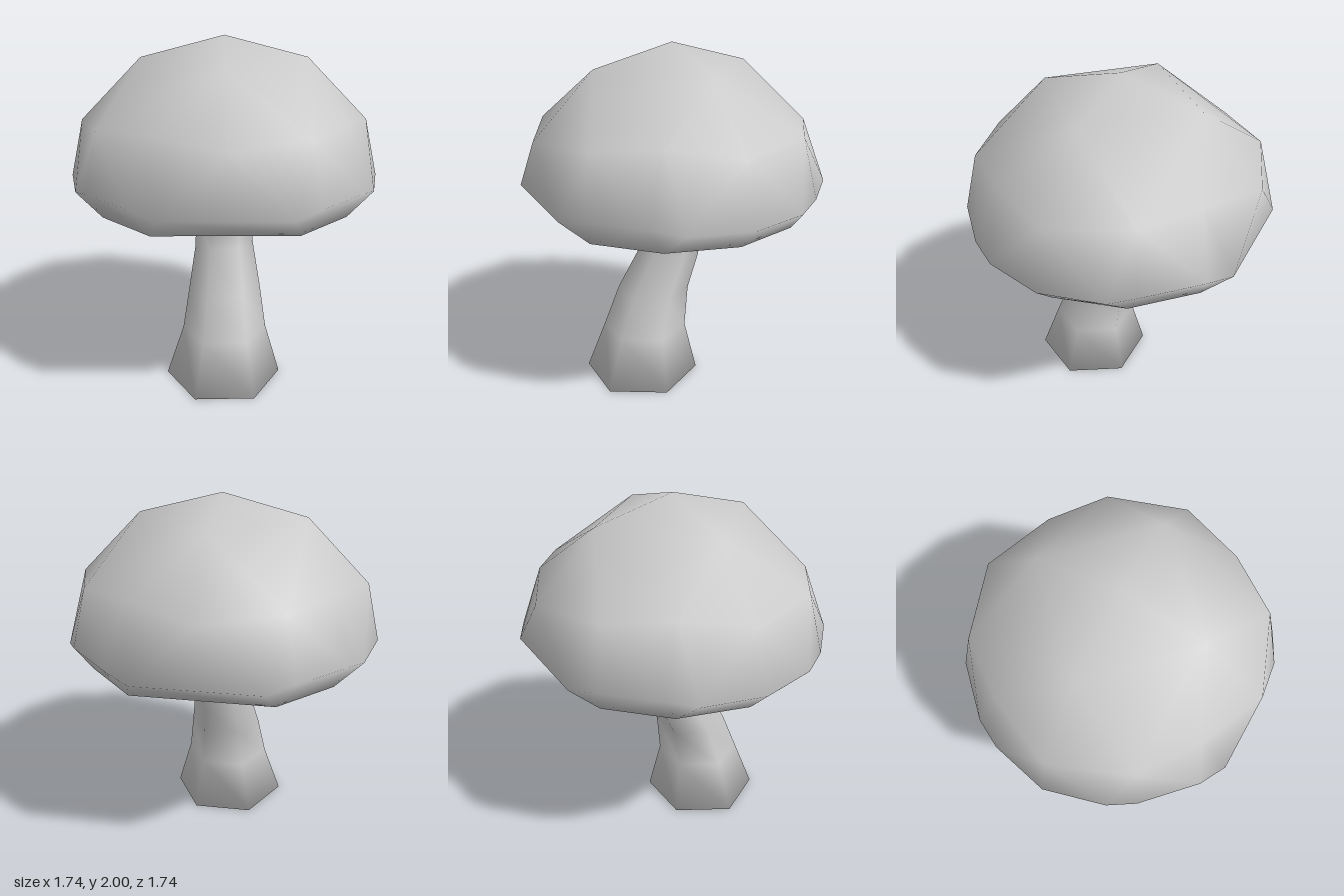
import * as THREE from 'three';
import { ConvexGeometry } from 'three/addons/geometries/ConvexGeometry.js';
import { mergeVertices } from 'three/addons/utils/BufferGeometryUtils.js';

const rad = THREE.MathUtils.degToRad;

// Faceted dome: rings of [height, radius, angles in degrees, repeat step]
function capGeometry() {
  const rings = [
    [1.88, 0.467, [15], 90],
    [1.53, 0.814, [15], 90],
    [1.56, 0.79, [72], 90],
    [1.58, 0.742, [45], 90],
    [1.235, 0.874, [-18.5, -41.7, -108.5, -131.4], 180],
    [1.2, 0.877, [-7.8, -52.8, -97.8, -142.6], 180],
    [1.2, 0.892, [15], 180],
    // The flat underside has one corner cut off on two opposite sides
    [1.07, 0.763, [15, 45, 75, 135, 165], 180],
  ];
  const points = [new THREE.Vector3(0, 2, 0)];
  for (const [y, r, angles, step] of rings) {
    for (let turn = 0; turn < 360; turn += step) {
      for (const a of angles) {
        const t = rad(a + turn);
        points.push(new THREE.Vector3(r * Math.cos(t), y, r * Math.sin(t)));
      }
    }
  }
  // Weld the hull so that it shades smoothly
  const hull = new ConvexGeometry(points);
  hull.deleteAttribute('normal');
  const geometry = mergeVertices(hull, 1e-4);
  geometry.computeVertexNormals();
  return geometry;
}

// Bent six-sided stalk: sections of [y, centre x, centre z, radius, tilt]
function stemGeometry() {
  const sides = 6;
  const sections = [
    [0, -0.062, 0.2, 0.341, 0],
    [0.3, -0.05, 0.182, 0.247, 0],
    [0.54, -0.032, 0.125, 0.211, 0],
    [0.765, -0.005, 0.015, 0.174, 0.035],
    [0.95, -0.003, 0.008, 0.167, 0],
    [1.1, -0.012, 0.045, 0.156, 0],
  ];
  const positions = [];
  const index = [];
  for (const [y, cx, cz, r, tilt] of sections) {
    for (let i = 0; i < sides; i++) {
      const t = rad(14 + i * 60);
      positions.push(cx + r * Math.cos(t), y + tilt * Math.sin(t), cz + r * Math.sin(t));
    }
  }
  for (let s = 0; s < sections.length - 1; s++) {
    for (let i = 0; i < sides; i++) {
      const a = s * sides + i;
      const b = s * sides + (i + 1) % sides;
      index.push(a, a + sides, b + sides, a, b + sides, b);
    }
  }
  // Close the base around its centre; the top end is hidden inside the cap
  const centre = sections.length * sides;
  positions.push(sections[0][1], 0, sections[0][2]);
  for (let i = 0; i < sides; i++) index.push(centre, i, (i + 1) % sides);
  const geometry = new THREE.BufferGeometry();
  geometry.setAttribute('position', new THREE.Float32BufferAttribute(positions, 3));
  geometry.setIndex(index);
  geometry.computeVertexNormals();
  return geometry;
}

export function createModel() {
  const group = new THREE.Group();
  group.name = 'mushroom';
  const material = new THREE.MeshStandardMaterial({ color: 0xcccccc });
  const add = (name, geometry) => {
    const mesh = new THREE.Mesh(geometry, material);
    mesh.name = name;
    group.add(mesh);
  };
  add('cap', capGeometry());
  add('stem', stemGeometry());
  return group;
}
